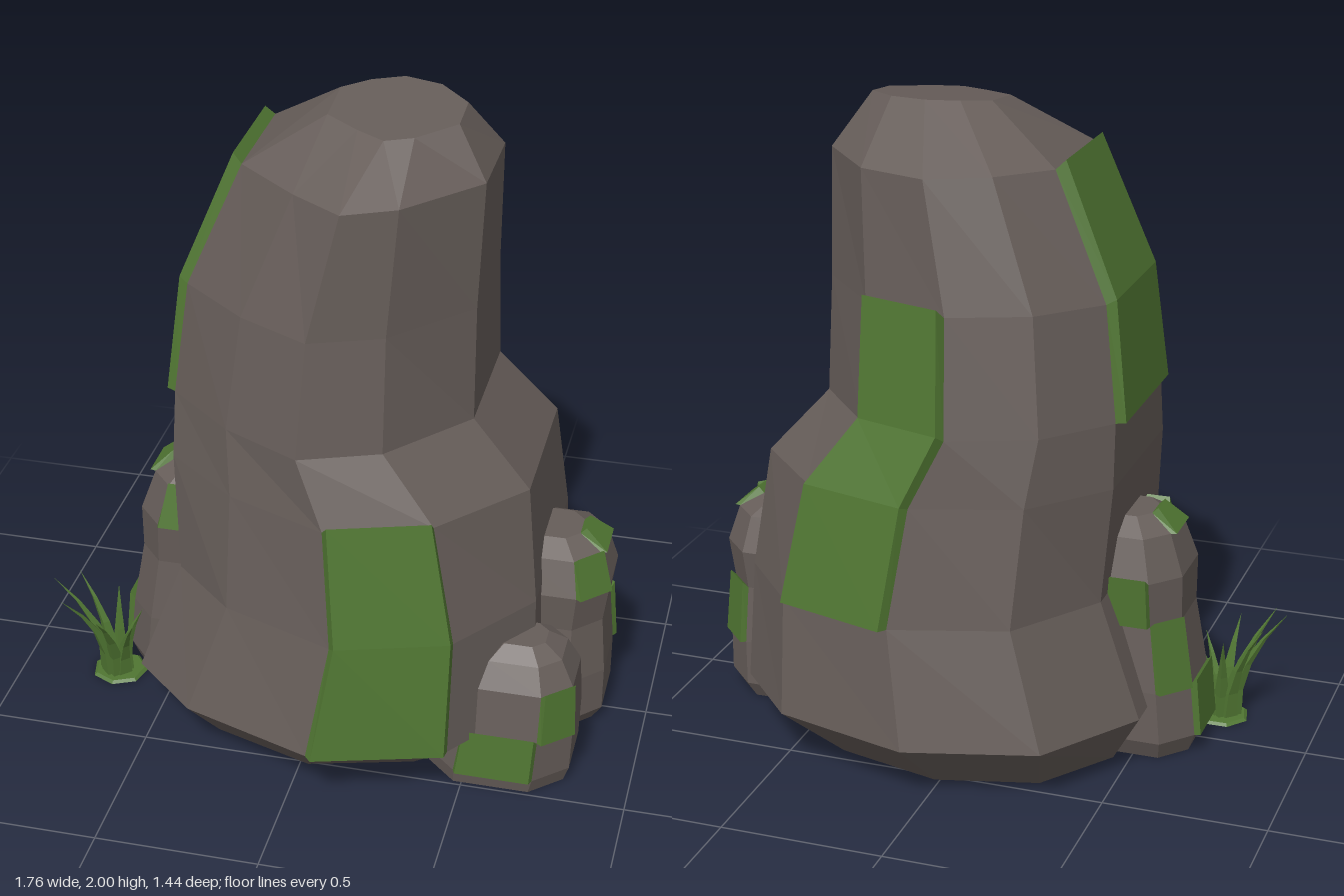
import * as THREE from 'three';

const stone = new THREE.MeshStandardMaterial({ color: 0x665d59 });
stone.name = 'stone';
stone.flatShading = true;
const moss = new THREE.MeshStandardMaterial({ color: 0x507632 });
moss.name = 'moss green';
moss.flatShading = true;

// Joins rows of points (bottom to top) into a faceted skin, skipping collapsed corners
function skin(rows) {
  const points = [];
  const tri = (a, b, c) => {
    if (a !== b && b !== c && a !== c) points.push(a, b, c);
  };
  for (let r = 0; r < rows.length - 1; r++) {
    for (let i = 0; i < rows[r].length - 1; i++) {
      const a = rows[r][i], b = rows[r][i + 1], c = rows[r + 1][i + 1], d = rows[r + 1][i];
      tri(a, d, c);
      tri(a, c, b);
    }
  }
  const g = new THREE.BufferGeometry().setFromPoints(points);
  g.computeVertexNormals();
  return g;
}

function add(parent, name, geometry, material) {
  const m = new THREE.Mesh(geometry, material);
  m.name = name;
  parent.add(m);
  return m;
}

// Fits an outline to one level of a rock, optionally tilted along z
const ring = (outline, y, cx, cz, hx, hz, tilt = 0) => outline.map(([u, v]) => {
  const z = cz + v * hz;
  return new THREE.Vector3(cx + u * hx, y + tilt * z, z);
});

function rockGeometry(rings) {
  const centre = r => {
    const c = r.reduce((s, p) => s.add(p), new THREE.Vector3()).divideScalar(r.length);
    return Array(r.length + 1).fill(c);
  };
  return skin([centre(rings[0]), ...rings.map(r => [...r, r[0]]), centre(rings.at(-1))]);
}

// Bevelled slab lying on one column of rock facets, from ring r0 to ring r1
function mossGeometry(rings, col, r0, r1, thickness) {
  const rows = [];
  for (let r = r0; r <= r1; r++) {
    const a = rings[r][col], b = rings[r][(col + 1) % rings[r].length];
    const n = new THREE.Vector3(b.z - a.z, 0, a.x - b.x).normalize().multiplyScalar(thickness);
    n.y = thickness * (r - r0) / (r1 - r0);
    const row = [a, a.clone().lerp(b, 0.03).add(n), b.clone().lerp(a, 0.03).add(n), b];
    if (r === r0) rows.push([a, a, b, b]);
    rows.push(row);
    if (r === r1) rows.push([a, a, b, b]);
  }
  return skin(rows);
}

// Stone body with moss patches given as [facet column, lower ring, upper ring]
function mossyRock(name, rings, patches, thickness) {
  const group = new THREE.Group();
  group.name = name;
  add(group, 'stoneBody', rockGeometry(rings), stone);
  patches.forEach(([col, r0, r1]) =>
    add(group, 'mossPatch', mossGeometry(rings, col, r0, r1, thickness), moss));
  return group;
}

// Main boulder: broad foot outline blending into a narrower neck outline
const footOutline = [[-1, -.4], [-.66, -.84], [-.02, -1], [.67, -.84], [1, -.53],
  [1, .42], [.66, .83], [0, 1], [-.66, .8], [-1, .53]];
const neckOutline = [[-1, -.48], [-.6, -.8], [-.1, -1], [.5, -.85], [1, -.37],
  [1, .3], [.43, .83], [0, 1], [-.45, .76], [-1, .38]];
// Levels are [y, xMin, xMax, half depth, share of neck]
const boulderLevels = [[0, -.45, .5, .52, 0], [.18, -.55, .68, .71, 0], [.54, -.42, .67, .655, .1],
  [.9, -.45, .63, .595, .4], [1.1, -.45, .45, .545, .6], [1.45, -.41, .445, .49, .7],
  [1.83, -.25, .455, .435, 1], [1.975, -.02, .36, .19, 1]];

function mainBoulder() {
  const top = boulderLevels.length - 1;
  const rings = boulderLevels.map(([y, x0, x1, hz, neck], i) => {
    const outline = footOutline.map((p, k) =>
      p.map((f, axis) => THREE.MathUtils.lerp(f, neckOutline[k][axis], neck)));
    return ring(outline, y, (x0 + x1) / 2, -0.01, (x1 - x0) / 2, hz, i === top ? -0.11 : 0);
  });
  return mossyRock('mainBoulder', rings, [[6, 1, 3], [2, 2, 5], [9, 4, 6]], 0.028);
}

// Small rocks: bevelled rectangle outline scaled up a shared profile of [height, width]
const bevel = [[-1, -.5], [-.55, -1], [.55, -1], [1, -.5]];
const smallOutline = [...bevel, ...bevel.map(([u, v]) => [-u, -v])];
const tallProfile = [[0, .86], [.08, 1], [.3, .98], [.58, .88], [.77, .94], [.94, .76], [1, .42]];
const lowProfile = [[0, .95], [.11, 1], [.41, .95], [.75, .84], [.92, .62], [1, .35]];

function smallRock(name, profile, { x, z, halfX, halfZ, height, lean, patches }) {
  const rings = profile.map(([t, s]) =>
    ring(smallOutline, t * height, x + lean * t, z, halfX * s, halfZ * s));
  return mossyRock(name, rings, patches, 0.018);
}

// Broad tapered blade that bends toward its tip
function bladeGeometry(height, dx, dz) {
  const g = new THREE.ConeGeometry(0.032, height, 4, 4).translate(0, height / 2, 0);
  const p = g.attributes.position;
  for (let i = 0; i < p.count; i++) {
    const k = (p.getY(i) / height) ** 2;
    p.setX(i, p.getX(i) + dx * k);
    p.setZ(i, p.getZ(i) + dz * k);
  }
  g.computeVertexNormals();
  return g;
}

// Fan of blades on a thin mat, taller toward the outside
function grassTuft() {
  const tuft = new THREE.Group();
  tuft.name = 'grassTuft';
  tuft.position.set(-0.69, 0, 0.17);
  add(tuft, 'grassMat', new THREE.CylinderGeometry(0.08, 0.09, 0.008, 7).translate(0, 0.004, 0), moss);
  const count = 7;
  for (let i = 0; i < count; i++) {
    const a = Math.PI + i * Math.PI * 2 / count;
    const dx = Math.cos(a) * 0.12 - 0.04, dz = Math.sin(a) * 0.1 + 0.04;
    const blade = add(tuft, 'grassBlade', bladeGeometry(0.29 - 0.06 * Math.cos(a), dx, dz), moss);
    blade.position.set(dx * 0.2, 0.005, dz * 0.2);
  }
  return tuft;
}

export function createModel() {
  const model = new THREE.Group();
  model.name = 'mossyRocks';
  model.add(
    mainBoulder(),
    smallRock('rightBackRock', tallProfile, {
      x: 0.655, z: -0.02, halfX: 0.21, halfZ: 0.195, height: 0.65, lean: 0.02,
      patches: [[4, 4, 5], [3, 5, 6], [2, 2, 3]],
    }),
    smallRock('rightFrontRock', lowProfile, {
      x: 0.59, z: 0.31, halfX: 0.22, halfZ: 0.185, height: 0.455, lean: 0.05,
      patches: [[5, 1, 2], [4, 2, 3]],
    }),
    smallRock('leftRock', tallProfile, {
      x: -0.49, z: -0.01, halfX: 0.19, halfZ: 0.195, height: 0.75, lean: 0.06,
      patches: [[7, 1, 2], [0, 2, 3], [1, 3, 4], [5, 4, 5], [7, 5, 6]],
    }),
    grassTuft(),
  );
  return model;
}
